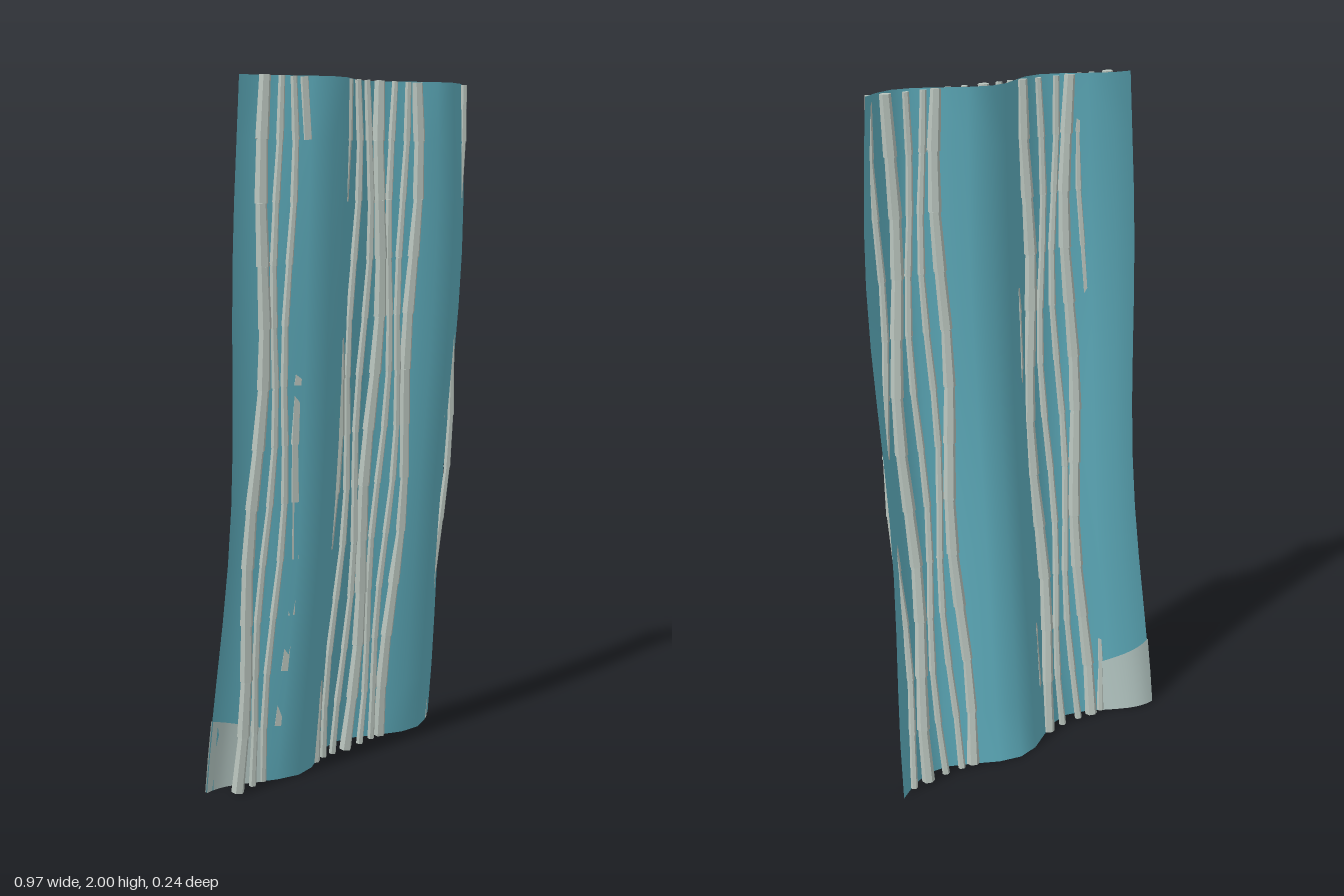
import * as THREE from 'three';
import { mergeGeometries } from 'three/addons/utils/BufferGeometryUtils.js';

const HEIGHT = 2;
const ROWS = 12;

// Backward sweep of the whole hanging, from the foot to the top
const sweep = (y) => -0.067 + 0.135 * Math.sin((y / HEIGHT) * Math.PI / 2);
// Half width of the cloth, pinched in along its height
const halfWidth = (y) => 0.461 + 0.015 * Math.cos(4.1 * y) + 0.008 * (1 - y / HEIGHT);
// Folds of the cloth
const fold = (x) => 0.053 * Math.cos((2 * Math.PI * (x + 0.2)) / 0.53);

// Point on the cloth for u in -1..1 and height y
function clothPoint(u, y, lift = 0) {
  return [u * halfWidth(y), y, sweep(y) + fold(u * 0.49) + lift];
}

// Bends a plane so that each grid point follows rule(s, t), both in 0..1
function bentPlane(columns, rows, rule) {
  const geometry = new THREE.PlaneGeometry(1, 1, columns, rows);
  const position = geometry.attributes.position;
  for (let i = 0; i < position.count; i++) {
    position.setXYZ(i, ...rule(position.getX(i) + 0.5, position.getY(i) + 0.5));
  }
  geometry.computeVertexNormals();
  return geometry;
}

// Jointed stalk: tapered six-sided pieces stacked along a wavering line
function stalkGeometry(index, x, radius) {
  const phase = index * 1.3;
  const node = (k) => {
    const y = 0.002 + (k / ROWS) * (HEIGHT - 0.004);
    return new THREE.Vector3(
      x + 0.011 * Math.sin(6.5 * y + phase),
      y,
      sweep(y) + 0.011 + 0.004 * Math.cos(5 * y + phase)
    );
  };
  const up = new THREE.Vector3(0, 1, 0);
  const pieces = [];
  for (let k = 0; k < ROWS; k++) {
    const a = node(k);
    const b = node(k + 1);
    const along = b.clone().sub(a);
    const piece = new THREE.CylinderGeometry(radius * 0.88, radius * 1.05, along.length(), 6);
    piece.applyQuaternion(new THREE.Quaternion().setFromUnitVectors(up, along.normalize()));
    const middle = a.add(b).multiplyScalar(0.5);
    piece.translate(middle.x, middle.y, middle.z);
    pieces.push(piece);
  }
  return mergeGeometries(pieces);
}

export function createModel() {
  const model = new THREE.Group();
  model.name = 'wavyHanging';

  const teal = new THREE.MeshStandardMaterial({ color: 0x60b0c0, side: THREE.DoubleSide });
  teal.name = 'teal cloth';
  const pale = new THREE.MeshStandardMaterial({ color: 0xbacdc9, side: THREE.DoubleSide });
  pale.name = 'pale patch';
  const grey = new THREE.MeshStandardMaterial({ color: 0xb9c4bd, flatShading: true });
  grey.name = 'grey stalk';

  const add = (name, geometry, material, parent = model) => {
    const mesh = new THREE.Mesh(geometry, material);
    mesh.name = name;
    parent.add(mesh);
  };

  // Folded cloth
  add('cloth', bentPlane(14, ROWS, (s, t) => clothPoint(s * 2 - 1, t * HEIGHT)), teal);

  // Pale patch at the lower corner, on both faces of the cloth
  const patch = (lift) => bentPlane(7, 2, (s, t) =>
    clothPoint(-1 + s * 0.34, t * (0.215 - 0.05 * s), lift));
  add('frontPatch', patch(0.004), pale);
  add('backPatch', patch(-0.004), pale);

  // Row of stalks woven through the folds, every third one thick
  const stalks = new THREE.Group();
  stalks.name = 'stalks';
  for (let i = 0; i < 17; i++) {
    const thick = i % 3 === 0;
    add(thick ? 'thickStalk' : 'thinStalk',
      stalkGeometry(i, -0.423 + i * 0.0525, thick ? 0.018 : 0.0105), grey, stalks);
  }
  model.add(stalks);

  return model;
}
